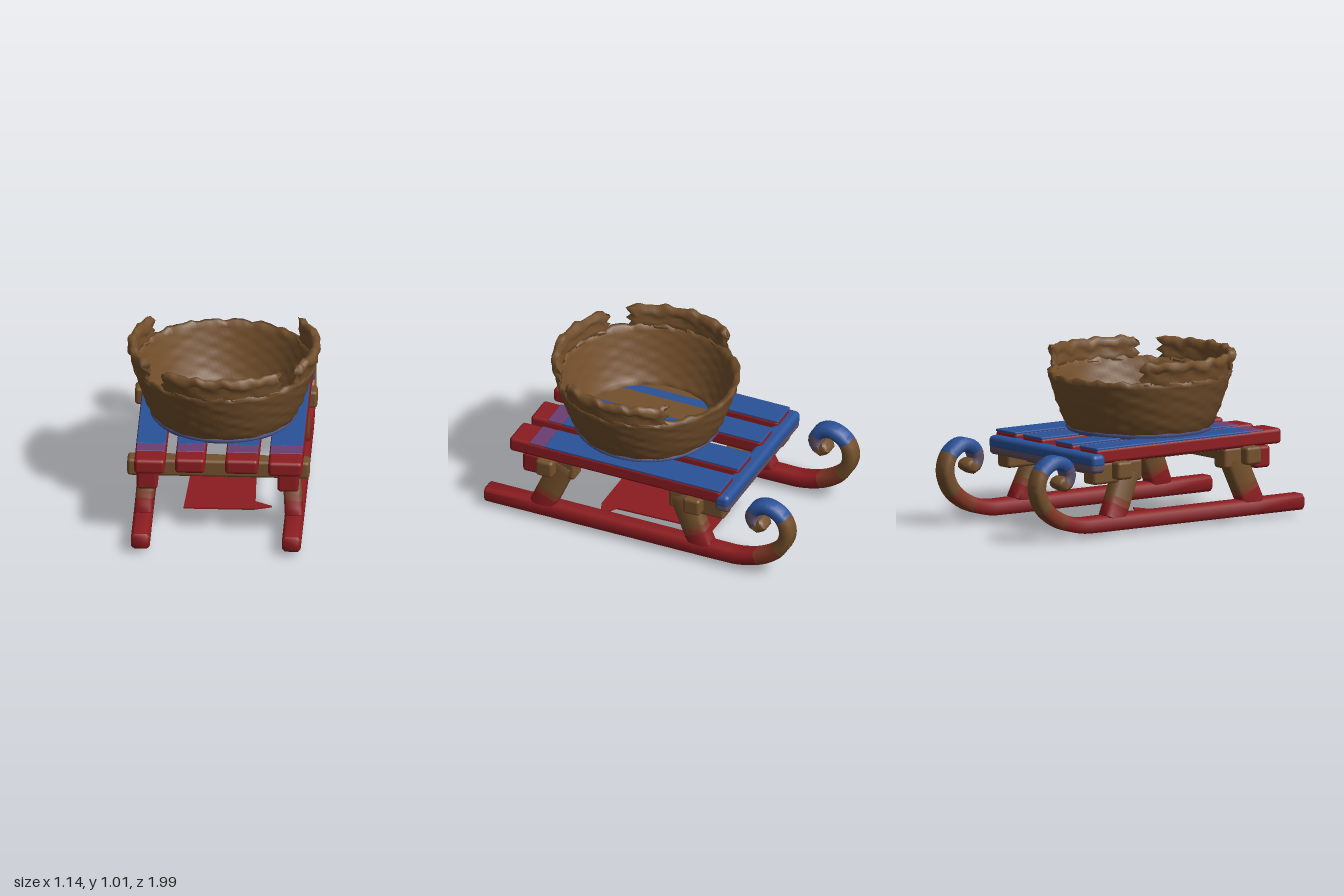
import * as THREE from 'three';
import { toCreasedNormals } from 'three/addons/utils/BufferGeometryUtils.js';
import { RoundedBoxGeometry } from 'three/addons/geometries/RoundedBoxGeometry.js';

const RED = 0x8c1c20, BLUE = 0x2a5299, BROWN = 0x74502c;
const materials = {};
const mat = (color) => (materials[color] ??= new THREE.MeshStandardMaterial({ color, side: THREE.DoubleSide }));
const mix = (a, b, t) => new THREE.Color(a).lerp(new THREE.Color(b), t).getHex();

function add(parent, name, geometry, color) {
  const mesh = new THREE.Mesh(geometry, mat(color));
  mesh.name = name;
  parent.add(mesh);
  return mesh;
}

// Rounded block from its two extreme corners
function block(parent, name, [x0, y0, z0], [x1, y1, z1], color, radius = 0.02) {
  const g = new RoundedBoxGeometry(x1 - x0, y1 - y0, z1 - z0, 3, radius);
  add(parent, name, g, color).position.set((x0 + x1) / 2, (y0 + y1) / 2, (z0 + z1) / 2);
}

// Chamfered bar swept along points that bend only in the side plane;
// each stretch takes its colour from colorAt(z, y)
function bar(parent, name, pts, width, heightAt, colorAt) {
  const group = new THREE.Group();
  group.name = name;
  const n = pts.length - 1;
  const rings = [];
  const ring = (i, inset, shift) => {
    const a = pts[Math.max(i - 1, 0)], b = pts[Math.min(i + 1, n)];
    const t = new THREE.Vector2(b.z - a.z, b.y - a.y).normalize();
    const w = width / 2 - inset, h = heightAt(i / n) / 2 - inset, c = 0.018;
    return [[w, h - c], [w - c, h], [c - w, h], [-w, h - c], [-w, c - h], [c - w, -h], [w - c, -h], [w, c - h]]
      .map(([u, v]) => [pts[i].x + u, pts[i].y + t.x * v + t.y * shift, pts[i].z - t.y * v + t.x * shift]);
  };
  pts.forEach((p, i) => {
    if (i === 0) rings.push(ring(i, 0.012, -0.012));
    rings.push(ring(i, 0, 0));
    if (i === n) rings.push(ring(i, 0.012, 0.012));
  });
  const last = rings.length - 1;
  const runs = new Map();
  for (let i = 0; i < last; i++) {
    const a = pts[Math.min(Math.max(i - 1, 0), n)], b = pts[Math.min(i, n)];
    const color = colorAt((a.z + b.z) / 2, (a.y + b.y) / 2);
    if (!runs.has(color)) runs.set(color, []);
    const out = runs.get(color);
    for (let k = 0; k < 8; k++) {
      const m = (k + 1) % 8, A = rings[i], B = rings[i + 1];
      out.push(...A[k], ...B[k], ...A[m], ...A[m], ...B[k], ...B[m]);
    }
    for (let k = 1; k < 7; k++) {
      if (i === 0) out.push(...rings[0][0], ...rings[0][k], ...rings[0][k + 1]);
      if (i === last - 1) out.push(...rings[last][0], ...rings[last][k + 1], ...rings[last][k]);
    }
  }
  for (const [color, positions] of runs) {
    const g = new THREE.BufferGeometry();
    g.setAttribute('position', new THREE.Float32BufferAttribute(positions, 3));
    // keep the winding outward whichever way the path runs
    add(group, name + 'Part', toCreasedNormals(g, 0.8), color);
  }
  parent.add(group);
}

const line = (a, b, steps) => Array.from({ length: steps + 1 }, (_, i) =>
  new THREE.Vector3(...a).lerp(new THREE.Vector3(...b), i / steps));

// Woven wall turned from a closed profile, roughened row by row
function woven(profile, segments, start, length, open) {
  const g = new THREE.LatheGeometry(profile.map(([r, y]) => new THREE.Vector2(r, y)), segments, start, length);
  const p = g.attributes.position, rows = profile.length;
  const mid = profile.reduce((s, q) => s + q[0], 0) / rows;
  for (let i = 0; i < p.count; i++) {
    const col = Math.floor(i / rows);
    const [r0, y] = profile[i % rows];
    let phi = start + (col / segments) * length;
    const edge = open && (col === 0 || col === segments);
    const row = Math.round(y / 0.035);
    let r = r0 + 0.005 * Math.sin(phi * 18 + row * Math.PI) + 0.003 * Math.sin(phi * 7 + row * 2.3);
    if (edge) {
      r = mid;
      phi += 0.05 * Math.sin(y * 90);
    }
    const lift = y > 0.86 ? 0.006 * Math.sin(phi * 23 + 1) + 0.004 * Math.sin(phi * 41) : 0;
    p.setXYZ(i, r * Math.sin(phi), y + lift, r * Math.cos(phi));
  }
  if (!open) for (let k = 0; k < rows; k++) p.setXYZ(segments * rows + k, p.getX(k), p.getY(k), p.getZ(k));
  g.computeVertexNormals();
  return g;
}

export function createModel() {
  const model = new THREE.Group();
  model.name = 'sledWithBasket';

  // Runners with a scrolled tip at the back
  const scroll = [[-0.5, 0.08], [-0.65, 0.085], [-0.8, 0.13], [-0.91, 0.215], [-0.955, 0.33], [-0.92, 0.43],
    [-0.83, 0.478], [-0.755, 0.45], [-0.73, 0.39], [-0.765, 0.335], [-0.805, 0.365]];
  const runnerColor = (z, y) => {
    if (z > -0.75) return y > 0.25 ? mix(BROWN, BLUE, 0.4) : RED;
    if (y < 0.2) return mix(RED, BROWN, 0.4);
    return y > 0.43 ? BLUE : BROWN;
  };
  for (const x of [-0.455, 0.435]) {
    const curve = new THREE.CatmullRomCurve3(scroll.map(([z, y]) => new THREE.Vector3(x, y, z)));
    const path = [...line([x, 0.078, 0.985], [x, 0.08, -0.4], 4), ...curve.getSpacedPoints(44)];
    bar(model, 'runner', path, 0.11, (t) => 0.095 - 0.022 * t, runnerColor);
  }

  // Splayed legs and the short rails they hold up
  const legColor = (z, y) => (y < 0.16 ? RED : y < 0.21 ? mix(RED, BROWN, 0.5) : BROWN);
  for (const side of [-1, 1]) {
    const cx = side * 0.445 - 0.01;
    for (const [zLow, zHigh] of [[0.63, 0.5], [-0.4, -0.26]]) {
      bar(model, 'leg', line([cx, 0.1, zLow], [cx - side * 0.025, 0.41, zHigh], 8), 0.105, () => 0.15, legColor);
    }
    const rx = side * 0.415 - 0.012;
    block(model, 'frontRail', [rx - 0.058, 0.32, 0.42], [rx + 0.058, 0.445, 0.68], BROWN);
    block(model, 'frontRailCap', [rx - 0.062, 0.305, 0.64], [rx + 0.062, 0.435, 0.755], RED);
    block(model, 'rearRail', [rx - 0.058, 0.315, -0.55], [rx + 0.058, 0.445, -0.19], BROWN);
  }

  // Cross beams
  for (const z of [0.59, -0.365]) {
    block(model, 'crossBeam', [-0.55, 0.34, z - 0.055], [0.525, 0.448, z + 0.055], BROWN);
  }

  // Seat slats: red body, blue top, brown underside
  for (const [x0, x1, end] of [[-0.5, -0.32, 0.83], [-0.26, -0.085, 0.81], [0.035, 0.23, 0.81], [0.29, 0.49, 0.83]]) {
    block(model, 'slat', [x0, 0.44, -0.54], [x1, 0.532, end], RED, 0.022);
    block(model, 'slatTop', [x0 + 0.004, 0.52, -0.54], [x1 - 0.004, 0.536, 0.6], BLUE, 0.006);
    block(model, 'slatTopFade', [x0 + 0.006, 0.52, 0.59], [x1 - 0.006, 0.535, 0.7], mix(BLUE, RED, 0.5), 0.006);
    block(model, 'slatUnderside', [x0 + 0.02, 0.436, -0.52], [x1 - 0.02, 0.45, end - 0.16], BROWN, 0.005);
  }
  block(model, 'rearBar', [-0.53, 0.39, -0.592], [0.49, 0.48, -0.5], mix(BROWN, BLUE, 0.35), 0.025);
  block(model, 'rearBarTop', [-0.533, 0.42, -0.595], [0.493, 0.503, -0.497], BLUE, 0.03);

  // Basket wall, with a raised rolled lip in front and on both sides
  const basket = new THREE.Group();
  basket.name = 'basket';
  basket.position.z = 0.155;
  model.add(basket);
  const radiusAt = (y) => 0.405 + 0.14 * Math.pow((y - 0.53) / 0.35, 0.72);
  const wall = [];
  for (let i = 0; i <= 10; i++) wall.push([radiusAt(0.53 + i * 0.035), 0.53 + i * 0.035]);
  for (let i = 10; i >= 0; i--) wall.push([radiusAt(0.53 + i * 0.035) - 0.03, 0.53 + i * 0.035]);
  wall.push(wall[0]);
  add(basket, 'basketWall', woven(wall, 120, 0, Math.PI * 2, false), BROWN);
  add(basket, 'basketFoot', new THREE.LatheGeometry([[0.395, 0.525], [0.42, 0.53], [0.437, 0.55], [0.42, 0.56]]
    .map(([r, y]) => new THREE.Vector2(r, y)), 72), mix(BLUE, BROWN, 0.3));
  const lip = [[0.54, 0.86], [0.548, 0.9], [0.55, 0.935], [0.564, 0.95], [0.568, 0.975], [0.558, 0.997],
    [0.535, 1.0], [0.515, 0.985], [0.515, 0.95], [0.522, 0.93], [0.518, 0.9], [0.512, 0.86], [0.54, 0.86]];
  for (const [center, half] of [[0, 0.69], [Math.PI / 2, 0.63], [-Math.PI / 2, 0.63]]) {
    add(basket, 'basketLip', woven(lip, 36, center - half, half * 2, true), BROWN);
  }

  // Basket floor: strips of a disc, brown over the slats and blue over the gaps
  const edges = [-0.405, -0.33, -0.26, -0.095, 0.035, 0.23, 0.29, 0.405];
  for (let i = 0; i < edges.length - 1; i++) {
    const shape = new THREE.Shape();
    const xs = Array.from({ length: 9 }, (_, k) => THREE.MathUtils.lerp(edges[i], edges[i + 1], k / 8));
    const depth = (x) => Math.sqrt(Math.max(0.41 ** 2 - x * x, 0));
    shape.setFromPoints([...xs.map((x) => new THREE.Vector2(x, -depth(x))),
      ...xs.reverse().map((x) => new THREE.Vector2(x, depth(x)))]);
    const g = new THREE.ShapeGeometry(shape).rotateX(-Math.PI / 2).translate(0, 0.541, 0);
    add(basket, 'basketFloor', g, i % 2 ? BLUE : BROWN);
  }

  // Thin torn sheet lying on the ground between the runners
  const sheet = new THREE.Shape([[-0.23, -0.37], [0.18, -0.37], [0.29, -0.33], [0.19, -0.27], [0.17, 0.34], [-0.2, 0.34]]
    .map(([x, y]) => new THREE.Vector2(x, y)));
  const sheetGeometry = new THREE.ExtrudeGeometry(sheet, { depth: 0.01, bevelEnabled: false }).rotateX(-Math.PI / 2);
  add(model, 'groundSheet', sheetGeometry, RED);

  return model;
}
